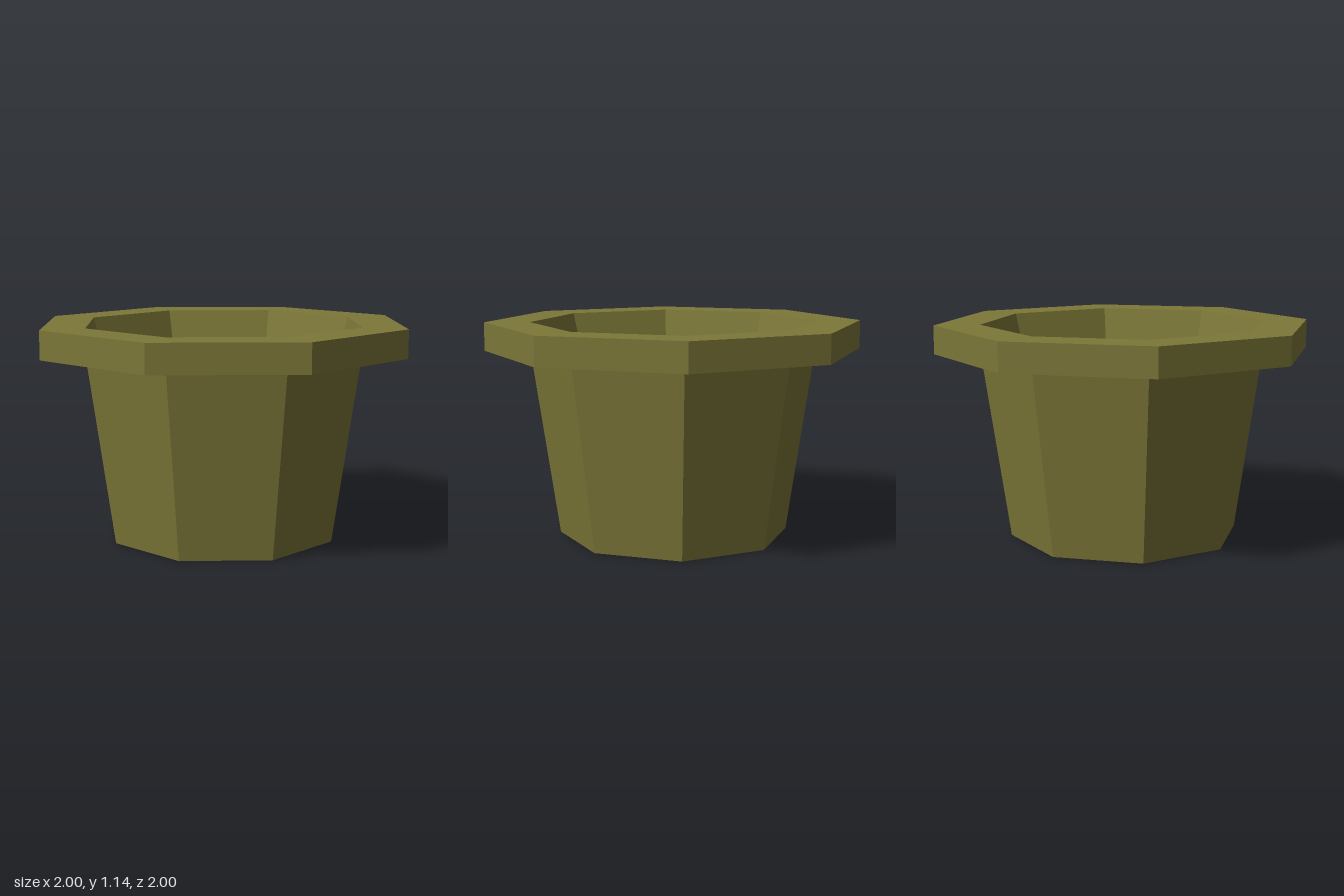
import * as THREE from 'three';

const SIDES = 8;

// Faceted ring from a [radius, height] profile, corners on the x and z axes
function facetedLathe(name, profile, material) {
  const points = profile.map(([r, y]) => new THREE.Vector2(r, y));
  const geometry = new THREE.LatheGeometry(points, SIDES).toNonIndexed();
  geometry.computeVertexNormals();
  const mesh = new THREE.Mesh(geometry, material);
  mesh.name = name;
  return mesh;
}

export function createModel() {
  const group = new THREE.Group();
  group.name = 'plantPot';

  const clay = new THREE.MeshStandardMaterial({ color: 0x7c7738, flatShading: true });
  clay.name = 'olive clay';

  // Closed base and tapered outer wall
  group.add(facetedLathe('outerWall', [[0, 0], [0.615, 0], [0.76, 0.99]], clay));
  // Overhanging rim: underside, edge and top
  group.add(facetedLathe('rim', [[0.76, 0.99], [1, 0.99], [1, 1.14], [0.76, 1.14]], clay));
  // Hollow inside, down to the floor
  group.add(facetedLathe('innerWall', [[0.76, 1.14], [0.47, 0.08], [0, 0.08]], clay));

  return group;
}
